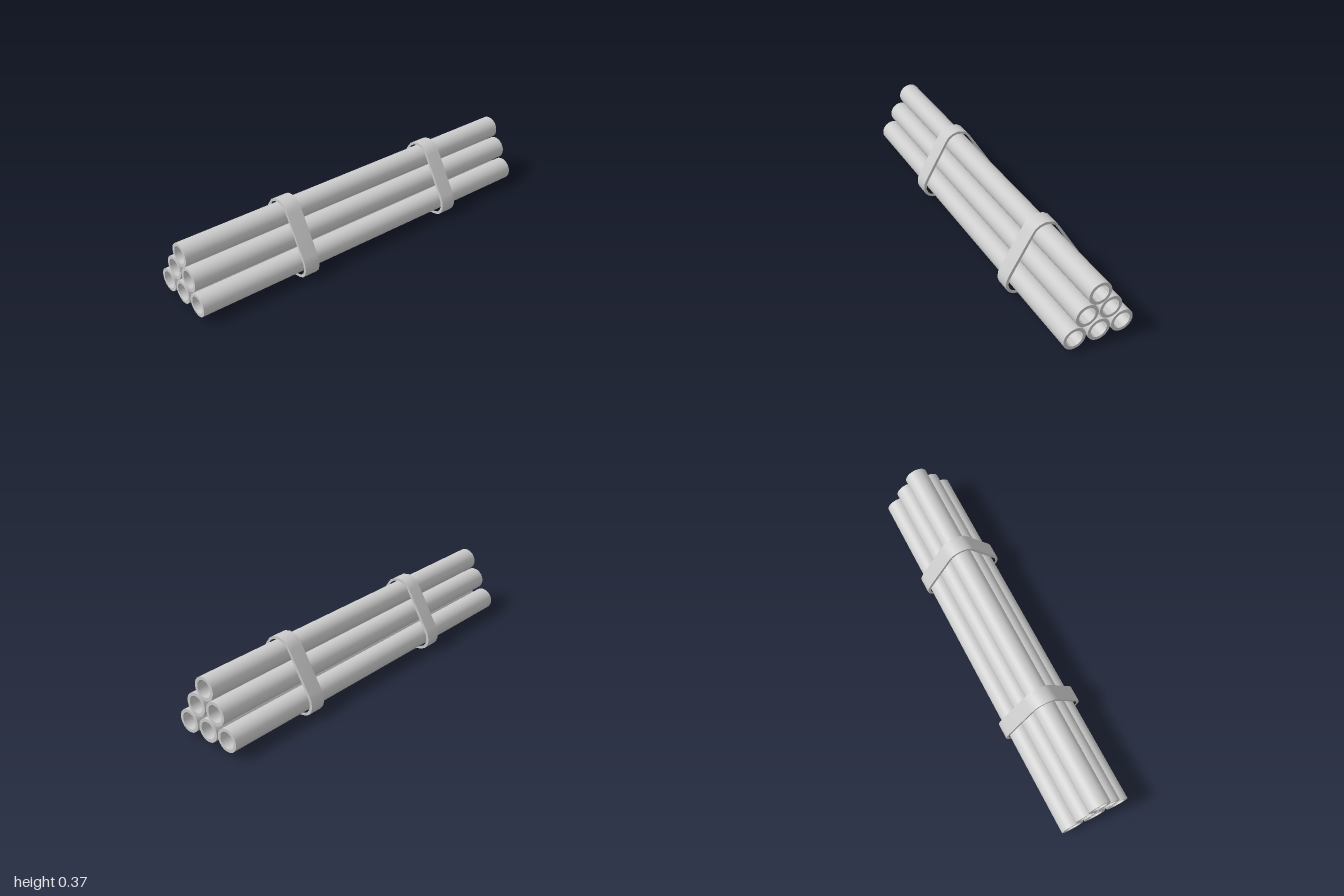
import * as THREE from 'three';
import { toCreasedNormals } from 'three/addons/utils/BufferGeometryUtils.js';

const material = new THREE.MeshStandardMaterial({ color: 0xcccccc });

// Extrude a shape along z, centred, with smooth sides and sharp rims
function extrude(shape, depth) {
  const geometry = new THREE.ExtrudeGeometry(shape, { depth, bevelEnabled: false, curveSegments: 16 });
  geometry.translate(0, 0, -depth / 2);
  return toCreasedNormals(geometry, 0.6);
}

// Closed outline mirrored from its right half, listed from top to bottom
function mirrored(half) {
  const left = half.filter(([x]) => x > 0).map(([x, y]) => [-x, y]).reverse();
  return [...half, ...left].map(([x, y]) => new THREE.Vector2(x, y));
}

export function createModel() {
  const model = new THREE.Group();
  model.name = 'pipeBundle';

  // Six hollow pipes stacked in a triangle
  const ring = new THREE.Shape().absarc(0, 0, 0.059, 0, Math.PI * 2);
  ring.holes.push(new THREE.Path().absarc(0, 0, 0.043, 0, Math.PI * 2, true));
  const pipeGeometry = extrude(ring, 2);
  const centres = [
    [-0.13, 0.079], [-0.006, 0.079], [0.121, 0.079],
    [-0.062, 0.188], [0.062, 0.188],
    [0, 0.291],
  ];
  centres.forEach(([x, y], i) => {
    const pipe = new THREE.Mesh(pipeGeometry, material);
    pipe.name = `pipe${i + 1}`;
    pipe.position.set(x, y, 0);
    model.add(pipe);
  });

  // Two rounded triangular straps around the bundle
  const outer = mirrored([
    [0, 0.371], [0.033, 0.364], [0.058, 0.348], [0.075, 0.323], [0.193, 0.126], [0.206, 0.098],
    [0.21, 0.064], [0.202, 0.037], [0.186, 0.018], [0.16, 0.006], [0.125, 0],
  ]);
  const inner = mirrored([
    [0, 0.357], [0.028, 0.351], [0.05, 0.337], [0.064, 0.315], [0.18, 0.117], [0.192, 0.094],
    [0.195, 0.067], [0.188, 0.044], [0.175, 0.029], [0.153, 0.02], [0.125, 0.018],
  ]);
  const band = new THREE.Shape(outer);
  band.holes.push(new THREE.Path(inner));
  const strapGeometry = extrude(band, 0.083);
  for (const [name, z] of [['frontStrap', 0.41], ['backStrap', -0.497]]) {
    const strap = new THREE.Mesh(strapGeometry, material);
    strap.name = name;
    strap.position.z = z;
    model.add(strap);
  }

  return model;
}
